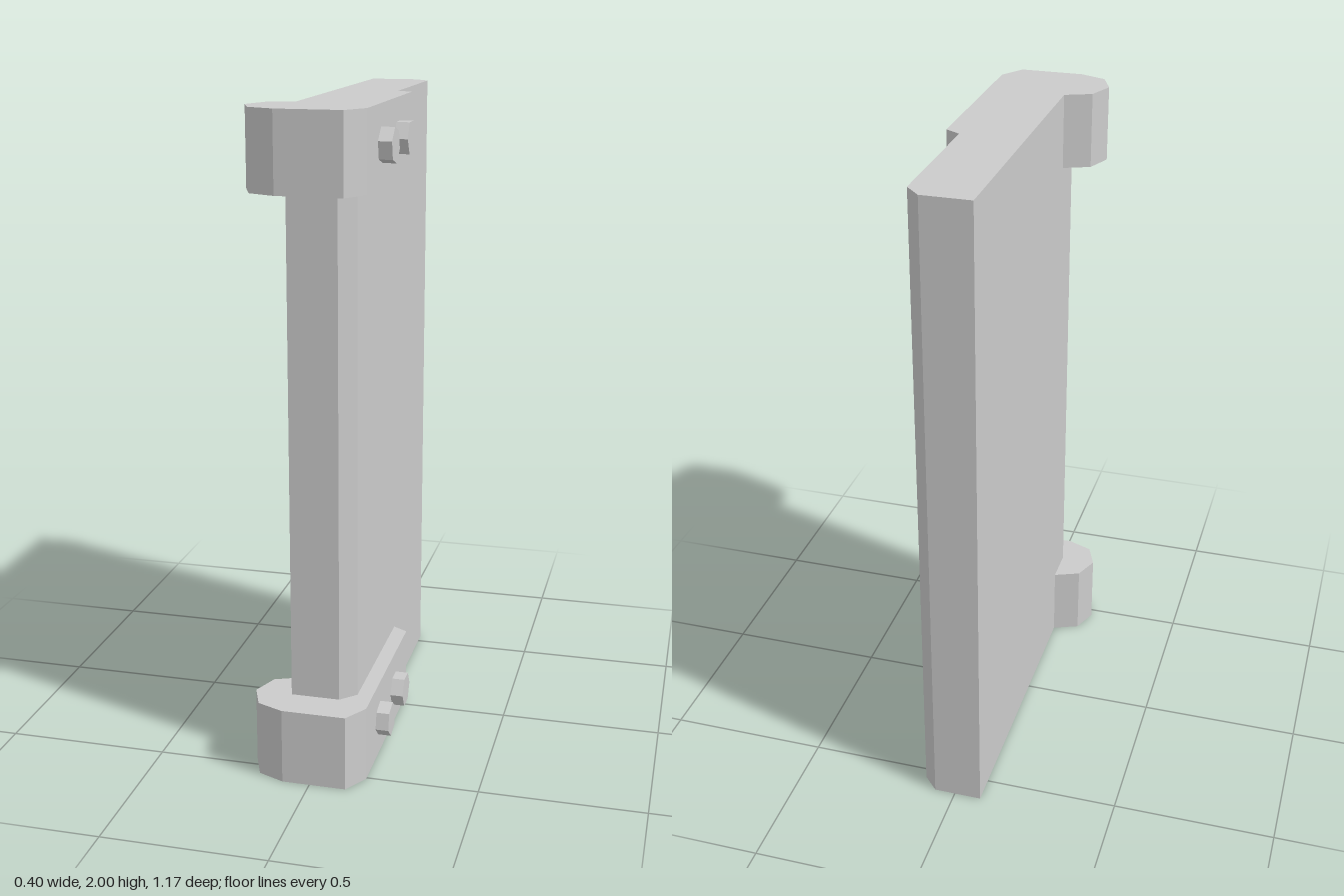
import * as THREE from 'three';

const material = new THREE.MeshStandardMaterial({ color: 0xcccccc, flatShading: true });

// Extrude a plan outline of [x, z] points upward from y0 to y1
function prism(name, outline, y0, y1) {
  const shape = new THREE.Shape(outline.map(([x, z]) => new THREE.Vector2(x, -z)));
  const geometry = new THREE.ExtrudeGeometry(shape, { depth: y1 - y0, bevelEnabled: false });
  geometry.rotateX(-Math.PI / 2).translate(0, y0, 0);
  const mesh = new THREE.Mesh(geometry, material);
  mesh.name = name;
  return mesh;
}

// Hexagonal bolt head pointing along +x, turned by an angle in degrees
function bolt(y, z, turn) {
  const length = 0.06;
  const start = THREE.MathUtils.degToRad(-turn);
  const geometry = new THREE.CylinderGeometry(0.053, 0.053, length, 6, 1, false, start);
  geometry.rotateZ(-Math.PI / 2);
  const mesh = new THREE.Mesh(geometry, material);
  mesh.name = 'bolt';
  mesh.position.set(0.198 - length / 2, y, z);
  return mesh;
}

export function createModel() {
  const group = new THREE.Group();
  group.name = 'hingedPanel';

  // Door panel with the two +x edges chamfered
  group.add(prism('panel', [
    [-0.084, -0.585], [0.065, -0.585], [0.111, -0.537],
    [0.111, 0.425], [0.065, 0.47], [-0.084, 0.47],
  ], 0, 2));

  // Hinge bracket: strap on the +x face, rounded knuckle on the -x side,
  // notched to fit around the front edge of the panel
  const bracket = [
    [0.111, -0.09], [0.158, -0.062], [0.158, 0.508], [0.111, 0.582],
    [-0.084, 0.582], [-0.165, 0.549], [-0.198, 0.467], [-0.165, 0.385], [-0.084, 0.352],
    [-0.084, 0.47], [0.065, 0.47], [0.111, 0.425],
  ];

  for (const [name, y0, y1, turn] of [['lowerHinge', 0, 0.235, -17], ['upperHinge', 1.768, 2, 17]]) {
    const hinge = new THREE.Group();
    hinge.name = name;
    const y = (y0 + y1) / 2;
    hinge.add(prism('bracket', bracket, y0, y1), bolt(y, 0.333, turn), bolt(y, 0.123, 0));
    group.add(hinge);
  }
  return group;
}
